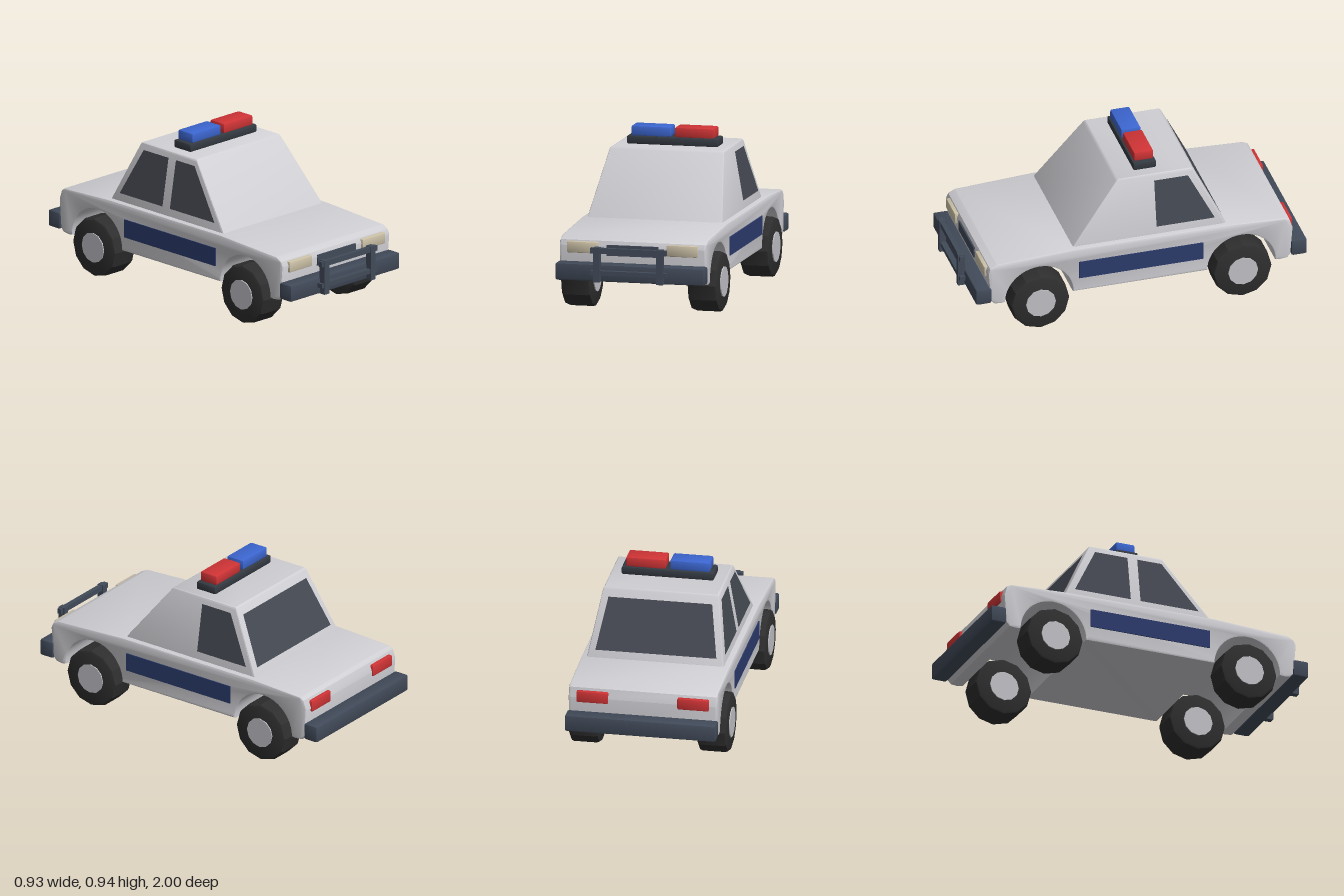
import * as THREE from 'three';
import { toCreasedNormals } from 'three/addons/utils/BufferGeometryUtils.js';
import { RoundedBoxGeometry } from 'three/addons/geometries/RoundedBoxGeometry.js';

const material = (name, color) => {
  const m = new THREE.MeshStandardMaterial({ color });
  m.name = name;
  return m;
};

export function createModel() {
  const paint = material('light grey paint', 0xcfcfd4);
  const trim = material('slate trim', 0x414a59);
  const base = material('dark trim', 0x343a42);
  const glass = material('dark glass', 0x444851);
  const navy = material('navy stripe', 0x2b3a6b);
  const rubber = material('tyre rubber', 0x2e2e2e);
  const hubGrey = material('hub grey', 0xbfbfc5);
  const red = material('red lens', 0xd03436);
  const blue = material('blue lens', 0x3c66d0);
  const cream = material('headlight lens', 0xcdc2a8);

  const car = new THREE.Group();
  car.name = 'patrolCar';

  const add = (name, geometry, mat, parent = car) => {
    const mesh = new THREE.Mesh(geometry, mat);
    mesh.name = name;
    parent.add(mesh);
    return mesh;
  };

  // Box given by its minimum and maximum corners, with optional softened edges
  const box = (name, mat, [x0, y0, z0], [x1, y1, z1], r = 0) => {
    const size = [x1 - x0, y1 - y0, z1 - z0];
    const g = r ? toCreasedNormals(new RoundedBoxGeometry(...size, 1, r), 0.6) : new THREE.BoxGeometry(...size);
    add(name, g, mat).position.set((x0 + x1) / 2, (y0 + y1) / 2, (z0 + z1) / 2);
  };

  // Lower body: side profile with wheel arches, extruded across the width
  const wheelZ = [0.585, -0.613];
  const profile = new THREE.Shape();
  profile.moveTo(0.81, 0.19);
  [[0.85, 0.195], [0.872, 0.22], [0.888, 0.4], [0.875, 0.43], [0.835, 0.45], [0.38, 0.475],
    [-0.53, 0.475], [-0.875, 0.46], [-0.9, 0.445], [-0.918, 0.39], [-0.905, 0.22], [-0.885, 0.195],
    [-0.84, 0.19]].forEach(([z, y]) => profile.lineTo(z, y));
  for (const z of [...wheelZ].reverse()) profile.absarc(z, 0.195, 0.2, Math.PI, 0, true);
  profile.closePath();
  const bevel = 0.012;
  const body = new THREE.ExtrudeGeometry(profile, {
    depth: 0.86 - 2 * bevel, curveSegments: 12, bevelEnabled: true,
    bevelThickness: bevel, bevelSize: bevel, bevelOffset: -bevel, bevelSegments: 2,
  });
  body.translate(0, 0, -0.43 + bevel).rotateY(-Math.PI / 2);
  add('body', toCreasedNormals(body, 0.5), paint);

  // Cabin: softened box tapered towards the roof
  const y0 = 0.465, y1 = 0.838;
  const lerp = THREE.MathUtils.lerp;
  const along = y => (y - y0) / (y1 - y0);
  const halfWidth = y => lerp(0.398, 0.333, along(y));
  const frontZ = y => lerp(0.385, 0.095, along(y));
  const rearZ = y => lerp(-0.535, -0.35, along(y));
  const cabin = new RoundedBoxGeometry(1, y1 - y0, 1, 1, 0.012);
  const p = cabin.attributes.position;
  for (let i = 0; i < p.count; i++) {
    const y = p.getY(i) + (y0 + y1) / 2;
    p.setXYZ(i, p.getX(i) * 2 * halfWidth(y), y, lerp(rearZ(y), frontZ(y), p.getZ(i) + 0.5));
  }
  add('cabin', toCreasedNormals(cabin, 0.5), paint);

  // Thin four-cornered pane, corners counter-clockwise from outside
  const pane = (name, corners) => {
    const g = new THREE.BufferGeometry();
    g.setAttribute('position', new THREE.Float32BufferAttribute(corners.flat(), 3));
    g.setIndex([0, 1, 2, 0, 2, 3]);
    g.computeVertexNormals();
    add(name, g, glass);
  };
  const lift = 0.004;
  const sidePane = (name, side, outline) => {
    const corners = outline.map(([z, y]) => [side * (halfWidth(y) + lift), y, z]);
    pane(name, side > 0 ? corners : corners.reverse());
  };
  const rearOutline = [[-0.12, 0.52], [-0.465, 0.52], [-0.32, 0.8], [-0.12, 0.8]];
  sidePane('leftRearWindow', 1, rearOutline);
  sidePane('rightRearWindow', -1, rearOutline);
  sidePane('rightFrontWindow', -1, [[0.3, 0.52], [-0.06, 0.52], [-0.06, 0.8], [0.09, 0.8]]);
  pane('backWindow', [[0.35, 0.515], [-0.35, 0.515], [-0.3, 0.79], [0.3, 0.79]]
    .map(([x, y]) => [x, y, rearZ(y) - lift]));

  // Roof light bar
  box('lightBarBase', base, [-0.267, 0.836, -0.156], [0.267, 0.884, -0.02], 0.01);
  box('blueLight', blue, [-0.243, 0.882, -0.146], [-0.012, 0.941, -0.03], 0.01);
  box('redLight', red, [0.012, 0.882, -0.146], [0.243, 0.941, -0.03], 0.01);

  // Bumpers and grille
  box('frontBumper', trim, [-0.437, 0.208, 0.868], [0.437, 0.307, 0.962], 0.012);
  box('rearBumper', trim, [-0.437, 0.208, -1], [0.437, 0.307, -0.907], 0.012);
  box('grille', trim, [-0.152, 0.348, 0.86], [0.152, 0.41, 0.893]);

  // Push bar
  box('pushBarTop', trim, [-0.222, 0.376, 0.968], [0.222, 0.407, 0.995]);
  box('pushBarBottom', trim, [-0.222, 0.25, 0.962], [0.222, 0.276, 0.995]);

  for (const side of [-1, 1]) {
    const label = side > 0 ? 'left' : 'right';
    const span = (a, b) => [Math.min(side * a, side * b), Math.max(side * a, side * b)];
    const sideBox = (name, mat, [a, b], [ya, yb], [za, zb], r) => {
      const [xa, xb] = span(a, b);
      box(label + name, mat, [xa, ya, za], [xb, yb, zb], r);
    };
    sideBox('PushBarUpright', trim, [0.167, 0.204], [0.21, 0.41], [0.96, 1]);
    sideBox('Headlight', cream, [0.2, 0.383], [0.358, 0.424], [0.86, 0.9], 0.008);
    sideBox('TailLight', red, [0.2, 0.383], [0.362, 0.43], [-0.927, -0.89], 0.008);
    sideBox('DoorStripe', navy, [0.428, 0.436], [0.283, 0.39], [-0.385, 0.35]);

    // Wheels: chamfered twelve-sided tyre with a hub running through it
    wheelZ.forEach((z, i) => {
      const wheel = new THREE.Group();
      wheel.name = label + (i ? 'RearWheel' : 'FrontWheel');
      wheel.position.set(side * 0.371, 0.174, z);
      const section = [[0, -0.086], [0.155, -0.086], [0.168, -0.08], [0.174, -0.066],
        [0.174, 0.066], [0.168, 0.08], [0.155, 0.086], [0, 0.086]];
      const tyre = new THREE.LatheGeometry(section.map(([r, y]) => new THREE.Vector2(r, y)), 12);
      add('tyre', toCreasedNormals(tyre.rotateZ(Math.PI / 2), 0.45), rubber, wheel);
      const hub = new THREE.CylinderGeometry(0.088, 0.088, 0.184, 12).rotateZ(Math.PI / 2);
      add('hub', hub, hubGrey, wheel);
      car.add(wheel);
    });
  }
  return car;
}
